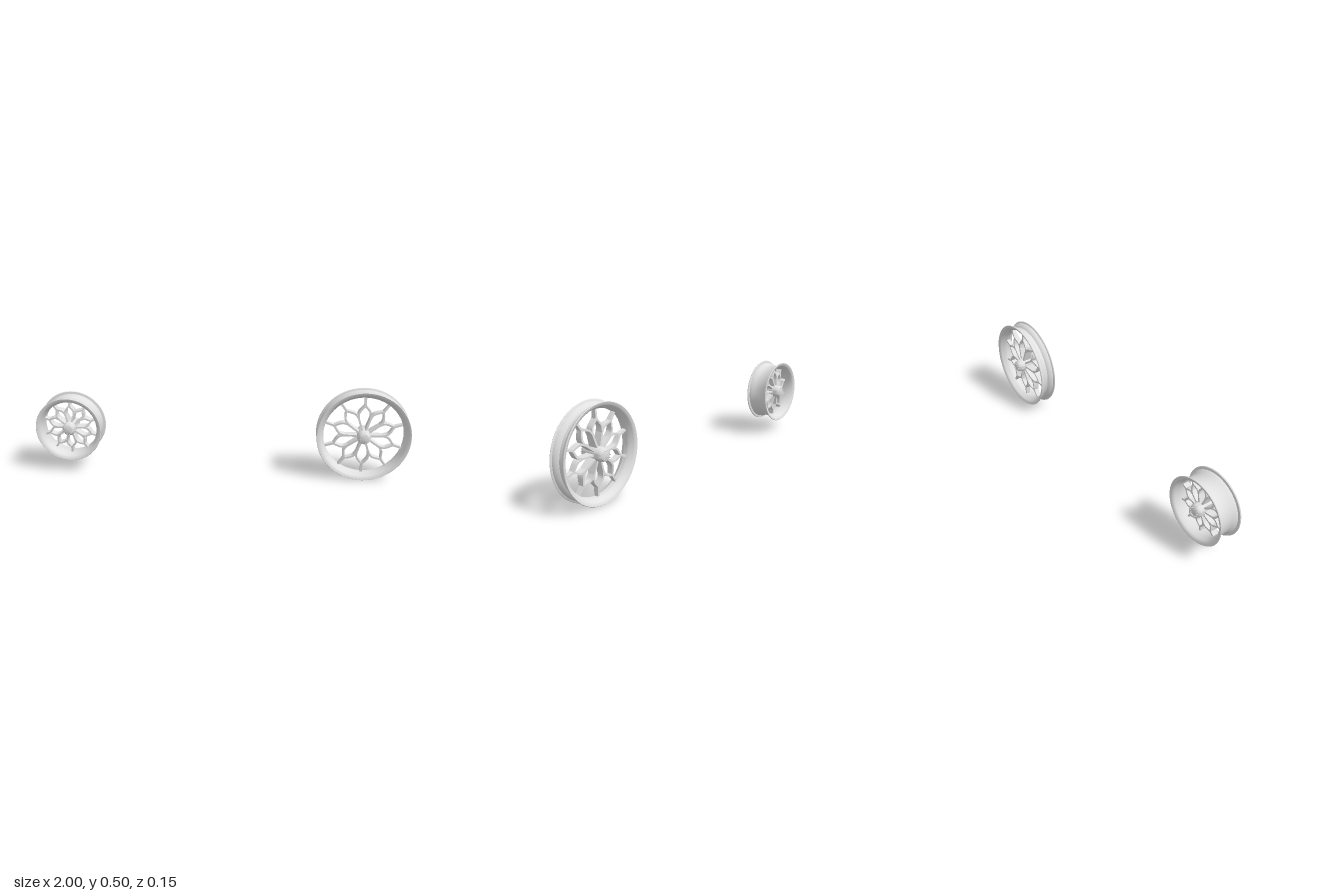
import * as THREE from 'three';
import { toCreasedNormals } from 'three/addons/utils/BufferGeometryUtils.js';

const metal = new THREE.MeshStandardMaterial({ color: 0xe1e1e1 });
metal.name = 'lightGreyMetal';

const PETALS = 10;
const polar = (r, a) => new THREE.Vector2(r * Math.cos(a), r * Math.sin(a));

function add(parent, geometry, name) {
  const mesh = new THREE.Mesh(geometry, metal);
  mesh.name = name;
  parent.add(mesh);
  return mesh;
}

// Solid of revolution about the z axis from [radius, z] pairs
function turned(profile, segments) {
  const points = profile.map(([r, z]) => new THREE.Vector2(r, z));
  const geometry = new THREE.LatheGeometry(points, segments).rotateX(Math.PI / 2);
  return toCreasedNormals(geometry, 0.9);
}

// Bar following a flat curve, its depth along z set by the distance from the hub
function bar(curve, width, depthAt, steps) {
  const geometry = new THREE.BoxGeometry(1, width, 1, steps, 1, 1);
  const pos = geometry.attributes.position;
  for (let i = 0; i < pos.count; i++) {
    const t = pos.getX(i) + 0.5;
    const p = curve.getPoint(t);
    const d = curve.getTangent(t);
    const y = pos.getY(i);
    pos.setXYZ(i, p.x - d.y * y, p.y + d.x * y, pos.getZ(i) * depthAt(p.length()));
  }
  geometry.computeVertexNormals();
  return geometry;
}

// Mirrors half an outer and half an inner rim section into a closed loop
function rimProfile(outer, inner) {
  const flip = (half) => half.map(([r, z]) => [r, -z]);
  const loop = [
    ...flip(outer).reverse(), ...outer,
    ...inner.slice().reverse(), ...flip(inner),
  ];
  return [...loop, loop[0]];
}

function makeWheel(name, s) {
  const wheel = new THREE.Group();
  wheel.name = name;
  add(wheel, turned(rimProfile(s.outer, s.inner), 72), 'rim');

  // Hub barrel with tapered ends
  const h = s.hubHalf;
  add(wheel, turned([
    [0, -h], [0.024, -h], [0.029, -h + 0.003], [0.035, -s.hubShoulder],
    [0.035, s.hubShoulder], [0.029, h - 0.003], [0.024, h], [0, h],
  ], 32), 'hub');

  // Ring of small bolts on both ends of the hub
  for (const side of [-1, 1]) {
    for (let i = 0; i < 10; i++) {
      const a = (i / 10) * Math.PI * 2;
      const bolt = add(wheel, new THREE.CylinderGeometry(0.0022, 0.0022, 0.01, 6).rotateX(Math.PI / 2), 'hubBolt');
      bolt.position.set(0.023 * Math.cos(a), 0.023 * Math.sin(a), side * (h + 0.002));
    }
  }

  // Petal spokes: stems from the hub, a pair of curved sides, then a tip to the rim
  const depthAt = (r) => THREE.MathUtils.mapLinear(r, 0.03, s.reach, s.depthHub, s.depthRim);
  const step = (Math.PI * 2) / PETALS;
  const mid = Math.PI / 2;
  const petalSide = (sign) => new THREE.SplineCurve([
    polar(s.node, mid + sign * step * 0.5),
    polar(s.node + (s.tip - s.node) * 0.48, mid + sign * step * 0.36),
    polar(s.tip, mid),
  ]);
  const stem = new THREE.LineCurve(polar(0.028, mid + step / 2), polar(s.node + 0.003, mid + step / 2));
  const tip = new THREE.LineCurve(polar(s.tip - 0.004, mid), polar(s.reach, mid));
  const parts = [
    ['petalStem', bar(stem, s.width, depthAt, 2)],
    ['petalSide', bar(petalSide(1), s.width, depthAt, 8)],
    ['petalSide', bar(petalSide(-1), s.width, depthAt, 8)],
    ['petalTip', bar(tip, s.width * 1.1, depthAt, 2)],
  ];
  for (let i = 0; i < PETALS; i++) {
    for (const [label, geometry] of parts) add(wheel, geometry, label).rotation.z = i * step;
  }
  return wheel;
}

export function createModel() {
  const model = new THREE.Group();
  model.name = 'wheelPair';

  // Tall narrow wheel
  const large = makeWheel('largeWheel', {
    outer: [[0.2205, 0.01], [0.236, 0.021], [0.238, 0.037], [0.2455, 0.0395], [0.2475, 0.042]],
    inner: [[0.211, 0.01], [0.223, 0.022], [0.227, 0.036], [0.234, 0.042], [0.2455, 0.045]],
    hubHalf: 0.066, hubShoulder: 0.044,
    node: 0.1, tip: 0.165, reach: 0.216, width: 0.01, depthHub: 0.05, depthRim: 0.02,
  });
  large.position.set(0.7525, 0.2475, -0.001);

  // Short wide wheel
  const small = makeWheel('smallWheel', {
    outer: [[0.154, 0.03], [0.163, 0.042], [0.164, 0.055], [0.176, 0.057], [0.178, 0.061]],
    inner: [[0.146, 0.03], [0.153, 0.042], [0.156, 0.054], [0.165, 0.062], [0.176, 0.064]],
    hubHalf: 0.066, hubShoulder: 0.05,
    node: 0.074, tip: 0.12, reach: 0.15, width: 0.009, depthHub: 0.06, depthRim: 0.03,
  });
  small.position.set(-0.822, 0.2455, -0.0015);

  model.add(large, small);
  return model;
}
